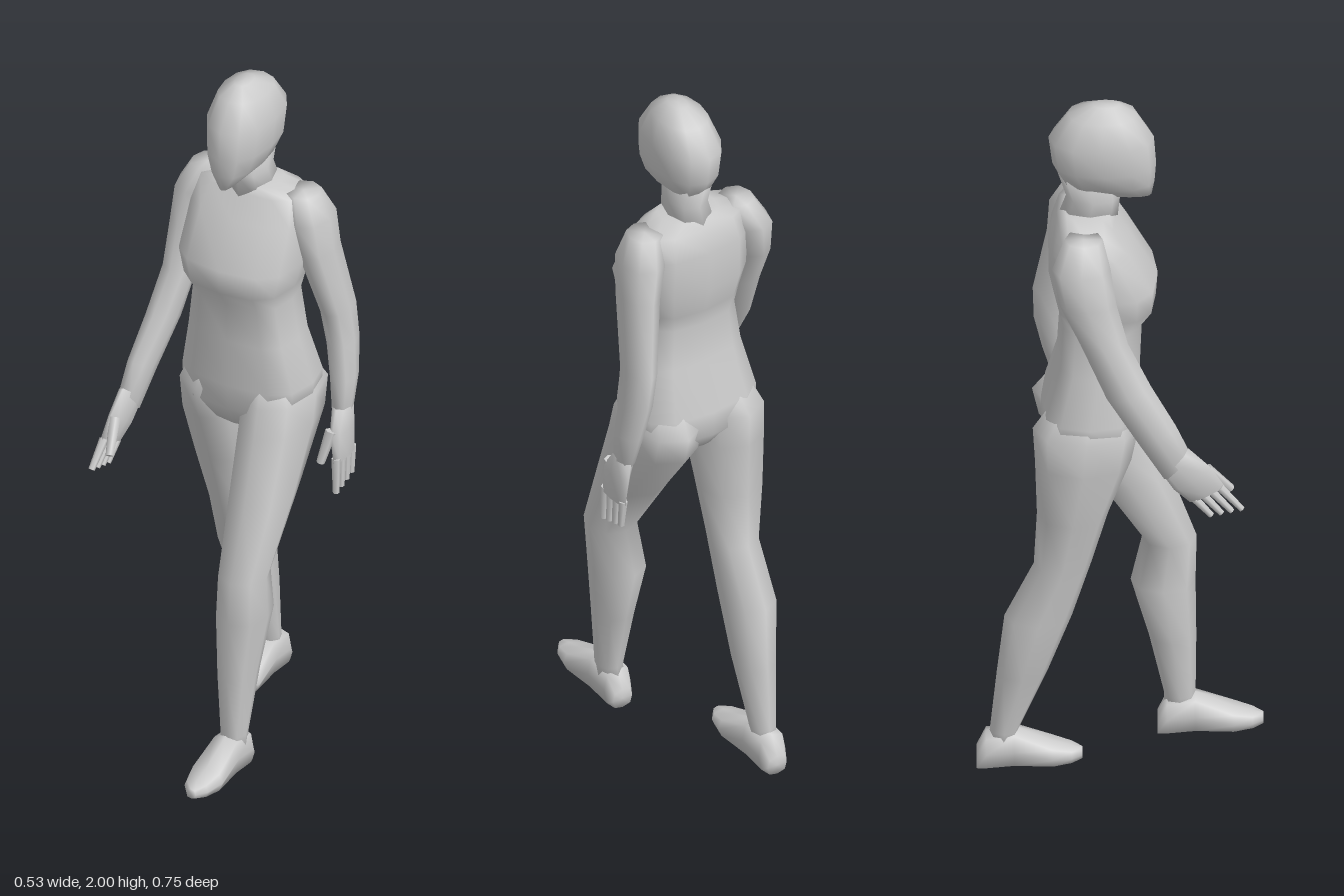
import * as THREE from 'three';

const grey = new THREE.MeshStandardMaterial({ color: 0xcccccc });

// Smooth closed skin through rings [along, centreX, halfWidth, front, back, tilt].
// axis 'y': rings run downwards, front/back are z. axis 'z': rings run forwards, front/back are top/bottom.
function loft(name, rings, { axis = 'y', sides = 8, power = 0.9 } = {}) {
  const pos = [], idx = [];
  const bend = (v) => Math.sign(v) * Math.abs(v) ** power;
  const put = (a, u, v) => (axis === 'y' ? pos.push(u, a, v) : pos.push(u, v, a));
  for (const [a, x, w, f, b, tilt = 0] of rings) {
    for (let j = 0; j < sides; j++) {
      const t = (j / sides) * Math.PI * 2, s = bend(Math.sin(t));
      put(a + tilt * s, x + w * bend(Math.cos(t)), (f + b) / 2 + ((f - b) / 2) * s);
    }
  }
  const last = rings.length - 1, c = rings.length * sides;
  for (const i of [0, last]) put(rings[i][0], rings[i][1], (rings[i][3] + rings[i][4]) / 2);
  for (let j = 0; j < sides; j++) {
    const k = (j + 1) % sides;
    for (let i = 0; i < last; i++) {
      const p = i * sides, q = p + sides;
      idx.push(p + j, p + k, q + j, p + k, q + k, q + j);
    }
    idx.push(c, k, j, c + 1, last * sides + j, last * sides + k);
  }
  const g = new THREE.BufferGeometry();
  g.setAttribute('position', new THREE.Float32BufferAttribute(pos, 3));
  g.setIndex(idx);
  g.computeVertexNormals();
  const mesh = new THREE.Mesh(g, grey);
  mesh.name = name;
  return mesh;
}

// Tapered finger between two points
function finger(name, from, to, r) {
  const a = new THREE.Vector3(...from), b = new THREE.Vector3(...to);
  const d = b.clone().sub(a);
  const mesh = new THREE.Mesh(new THREE.CylinderGeometry(r * 0.7, r, d.length(), 6), grey);
  mesh.position.copy(a).add(b).multiplyScalar(0.5);
  mesh.quaternion.setFromUnitVectors(new THREE.Vector3(0, 1, 0), d.normalize());
  mesh.name = name;
  return mesh;
}

// Palm, four fingers spread from front knuckle to back knuckle, and a thumb
function hand(name, palm, knuckles, tips, thumb) {
  const g = new THREE.Group();
  g.name = name;
  g.add(loft('palm', palm));
  const mix = (p, t) => p[0].map((v, i) => v + (p[1][i] - v) * t);
  for (let i = 0; i < 4; i++) {
    g.add(finger('finger', mix(knuckles, i / 3), mix(tips, i / 3), 0.0125));
  }
  g.add(finger('thumb', thumb[0], thumb[1], 0.016));
  return g;
}

function foot(name, x, z) {
  const mesh = loft(name, [
    [0.1, 0, 0.03, 0.06, 0.005],
    [0.125, 0, 0.042, 0.115, 0.005],
    [0.2, 0, 0.042, 0.125, 0.012],
    [0.3, 0, 0.05, 0.08, 0.018],
    [0.35, 0, 0.036, 0.066, 0.024],
    [0.378, 0, 0.014, 0.058, 0.03],
  ], { axis: 'z', power: 0.65 });
  mesh.position.set(x, 0, z);
  return mesh;
}

export function createModel() {
  const model = new THREE.Group();
  model.name = 'walkingFigure';

  // Head and neck
  model.add(loft('head', [
    [2.0, 0, 0.022, 0.0, -0.07],
    [1.972, 0, 0.065, 0.045, -0.135],
    [1.9, 0, 0.088, 0.09, -0.186],
    [1.82, 0, 0.082, 0.096, -0.176],
    [1.765, 0, 0.06, 0.092, -0.15],
    [1.722, 0, 0.018, 0.084, -0.03],
  ], { sides: 12, power: 0.88 }));
  model.add(loft('neck', [
    [1.8, 0, 0.055, 0.0, -0.165],
    [1.72, 0, 0.052, 0.002, -0.14],
    [1.65, 0, 0.065, -0.005, -0.165],
  ]));

  // Torso
  model.add(loft('torso', [
    [1.685, 0, 0.08, -0.02, -0.145],
    [1.665, 0, 0.15, -0.01, -0.165],
    [1.6, 0, 0.165, 0.03, -0.187],
    [1.48, 0, 0.168, 0.1, -0.185],
    [1.41, 0, 0.152, 0.095, -0.17],
    [1.36, 0, 0.138, 0.06, -0.158],
    [1.24, 0, 0.155, 0.055, -0.165],
    [1.1, 0, 0.184, 0.05, -0.205],
    [1.03, 0, 0.182, 0.05, -0.205],
    [0.97, 0, 0.09, 0.02, -0.16],
  ], { sides: 12, power: 0.7 }));

  // Left leg, stepping forward
  model.add(loft('leftLeg', [
    [1.14, 0.085, 0.07, 0.02, -0.17],
    [1.06, 0.095, 0.093, 0.06, -0.228],
    [0.98, 0.096, 0.094, 0.08, -0.21],
    [0.8, 0.098, 0.086, 0.132, -0.075],
    [0.6, 0.098, 0.067, 0.203, 0.06],
    [0.47, 0.09, 0.07, 0.2, 0.03],
    [0.3, 0.086, 0.052, 0.202, 0.078],
    [0.12, 0.085, 0.034, 0.2, 0.118],
    [0.07, 0.082, 0.036, 0.2, 0.115],
  ]));
  model.add(foot('leftFoot', 0.081, 0));

  // Right leg, trailing behind
  model.add(loft('rightLeg', [
    [1.14, -0.085, 0.07, 0.02, -0.17],
    [1.06, -0.098, 0.096, 0.05, -0.228],
    [0.96, -0.1, 0.095, 0.03, -0.222],
    [0.8, -0.1, 0.085, -0.03, -0.217],
    [0.64, -0.095, 0.064, -0.075, -0.225],
    [0.48, -0.098, 0.068, -0.125, -0.302],
    [0.3, -0.09, 0.052, -0.19, -0.322],
    [0.12, -0.086, 0.034, -0.265, -0.34],
    [0.07, -0.084, 0.036, -0.265, -0.345],
  ]));
  model.add(foot('rightFoot', -0.084, -0.475));

  // Left arm, hanging slightly back
  model.add(loft('leftArm', [
    [1.673, 0.145, 0.045, -0.045, -0.145],
    [1.6, 0.165, 0.055, -0.025, -0.182],
    [1.5, 0.18, 0.046, -0.04, -0.188],
    [1.3, 0.21, 0.038, -0.1, -0.225],
    [1.2, 0.222, 0.036, -0.112, -0.222],
    [1.1, 0.234, 0.033, -0.108, -0.2],
    [1.0, 0.239, 0.024, -0.102, -0.17],
  ]));
  model.add(hand('leftHand', [
    [1.02, 0.239, 0.024, -0.102, -0.172],
    [0.96, 0.248, 0.02, -0.065, -0.172],
    [0.88, 0.255, 0.014, -0.062, -0.168],
  ], [[0.255, 0.89, -0.075], [0.255, 0.89, -0.156]],
  [[0.258, 0.788, -0.07], [0.257, 0.81, -0.15]],
  [[0.24, 0.97, -0.075], [0.222, 0.88, -0.05]]));

  // Right arm, swinging forward
  model.add(loft('rightArm', [
    [1.673, -0.145, 0.045, -0.045, -0.145],
    [1.6, -0.175, 0.058, -0.025, -0.178],
    [1.5, -0.19, 0.046, -0.01, -0.16],
    [1.38, -0.193, 0.044, 0.02, -0.105],
    [1.24, -0.212, 0.04, 0.08, -0.035, 0.02],
    [1.12, -0.232, 0.033, 0.145, 0.05, 0.03],
    [1.03, -0.242, 0.024, 0.183, 0.115, 0.04],
  ]));
  model.add(hand('rightHand', [
    [1.045, -0.242, 0.024, 0.178, 0.11, 0.04],
    [0.995, -0.246, 0.02, 0.235, 0.14, 0.035],
    [0.95, -0.252, 0.014, 0.272, 0.182, 0.025],
  ], [[-0.252, 0.97, 0.26], [-0.252, 0.935, 0.195]],
  [[-0.256, 0.905, 0.318], [-0.254, 0.885, 0.238]],
  [[-0.24, 1.02, 0.225], [-0.218, 0.945, 0.29]]));

  return model;
}
